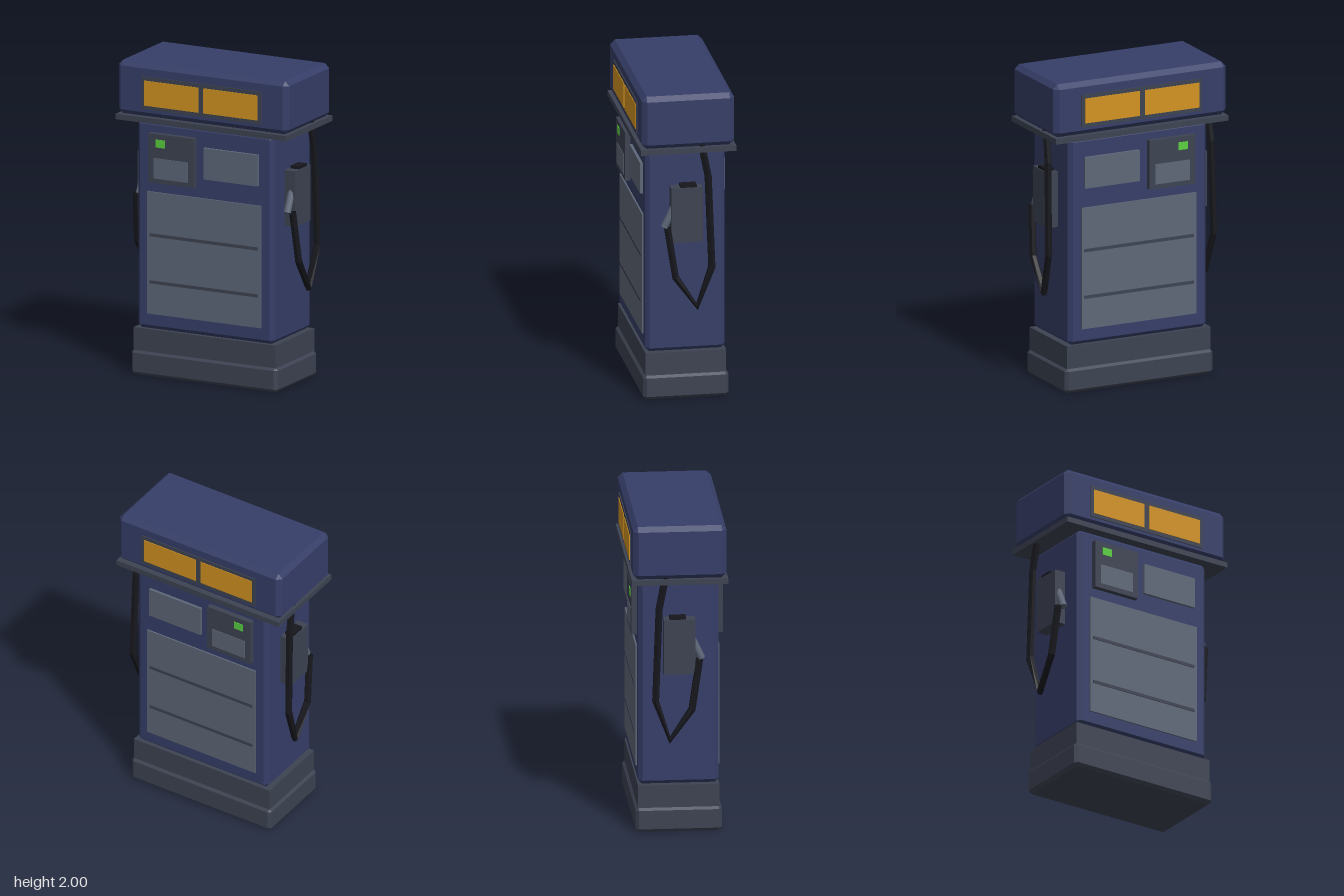
import * as THREE from 'three';
import { ConvexGeometry } from 'three/addons/geometries/ConvexGeometry.js';

const mat = (name, color, extra = {}) => {
  const m = new THREE.MeshStandardMaterial({ color, ...extra });
  m.name = name;
  return m;
};

// Box with every edge cut at 45 degrees
function chamferBox(w, h, d, c) {
  const pts = [];
  for (const x of [-1, 1]) for (const y of [-1, 1]) for (const z of [-1, 1]) {
    const a = w / 2, b = h / 2, e = d / 2;
    pts.push(
      new THREE.Vector3(x * a, y * (b - c), z * (e - c)),
      new THREE.Vector3(x * (a - c), y * b, z * (e - c)),
      new THREE.Vector3(x * (a - c), y * (b - c), z * e));
  }
  return new ConvexGeometry(pts);
}

export function createModel() {
  const navy = mat('navy paint', 0x363e68);
  const dark = mat('dark grey', 0x3d4352);
  const panel = mat('panel grey', 0x5e6778);
  const amber = mat('amber sign', 0xd39322);
  const green = mat('green light', 0x5ad040);
  const rubber = mat('black rubber', 0x16171d, { flatShading: true, side: THREE.DoubleSide });

  const root = new THREE.Group();
  root.name = 'fuelPump';

  const add = (parent, name, geometry, material, x = 0, y = 0, z = 0) => {
    const mesh = new THREE.Mesh(geometry, material);
    mesh.name = name;
    mesh.position.set(x, y, z);
    parent.add(mesh);
    return mesh;
  };
  // Box given by its limits on each axis
  const box = (parent, name, material, x0, x1, y0, y1, z0, z1, chamfer = 0) => {
    const w = Math.abs(x1 - x0), h = y1 - y0, d = Math.abs(z1 - z0);
    const geo = chamfer ? chamferBox(w, h, d, chamfer) : new THREE.BoxGeometry(w, h, d);
    return add(parent, name, geo, material, (x0 + x1) / 2, (y0 + y1) / 2, (z0 + z1) / 2);
  };

  // Main stack, from plinth to sign box
  box(root, 'plinth', dark, -0.515, 0.515, 0, 0.16, -0.268, 0.268, 0.02);
  box(root, 'base', dark, -0.5, 0.5, 0.14, 0.3, -0.253, 0.253);
  box(root, 'body', navy, -0.48, 0.48, 0.3, 1.63, -0.25, 0.25, 0.025);
  box(root, 'canopyLedge', dark, -0.6, 0.6, 1.625, 1.66, -0.3, 0.3);
  box(root, 'signBox', navy, -0.6, 0.6, 1.66, 2, -0.29, 0.29, 0.03);

  // Fittings repeated on the front and back faces
  for (const s of [1, -1]) {
    const face = new THREE.Group();
    face.name = s > 0 ? 'frontFace' : 'backFace';
    root.add(face);
    const plate = (name, material, x0, x1, y0, y1, zIn, zOut) =>
      box(face, name, material, x0, x1, y0, y1, s * zIn, s * zOut);

    plate('signFrame', dark, -0.42, 0.42, 1.71, 1.92, 0.28, 0.296);
    plate('signRight', amber, -0.4, -0.02, 1.735, 1.895, 0.292, 0.3);
    plate('signLeft', amber, 0.015, 0.395, 1.735, 1.895, 0.292, 0.3);

    plate('displayHousing', dark, -0.38, -0.06, 1.245, 1.56, 0.24, 0.285);
    plate('displayLight', green, -0.325, -0.26, 1.475, 1.525, 0.281, 0.289);
    plate('displayScreen', panel, -0.34, -0.1, 1.275, 1.405, 0.281, 0.288);

    plate('infoPanel', panel, 0, 0.38, 1.305, 1.505, 0.24, 0.268);
    plate('accessPanel', panel, -0.4, 0.4, 0.4, 1.18, 0.24, 0.26);
    for (const y of [0.605, 0.905])
      plate('panelGroove', dark, -0.38, 0.38, y - 0.01, y + 0.01, 0.256, 0.264);
  }

  // Holster, nozzle and hose on each side
  for (const s of [1, -1]) {
    const side = new THREE.Group();
    side.name = s > 0 ? 'leftDispenser' : 'rightDispenser';
    root.add(side);

    box(side, 'holster', dark, s * 0.47, s * 0.555, 1.03, 1.385, -0.097, 0.1);
    box(side, 'nozzleGrip', rubber, s * 0.49, s * 0.55, 1.37, 1.402, -0.06, 0.042);

    const tip = new THREE.Vector3(s * 0.52, 1.125, 0.14);
    const top = new THREE.Vector3(s * 0.52, 1.29, 0.062);
    const dir = top.clone().sub(tip);
    const spout = add(side, 'nozzle', new THREE.CylinderGeometry(0.024, 0.024, dir.length(), 8), panel);
    spout.position.copy(tip).add(top).multiplyScalar(0.5);
    spout.quaternion.setFromUnitVectors(new THREE.Vector3(0, 1, 0), dir.normalize());

    // Hose made of straight runs between the bends
    const path = new THREE.CatmullRomCurve3([
      [0.56, 1.68, -0.085], [0.567, 1.46, -0.128], [0.575, 0.87, -0.15],
      [0.56, 0.61, -0.06], [0.567, 0.81, 0.077], [0.55, 1.13, 0.125],
    ].map(([x, y, z]) => new THREE.Vector3(s * x, y, z)));
    path.getPointAt = (t, target) => path.getPoint(t, target);
    path.getTangentAt = (t, target) => path.getTangent(t, target);
    add(side, 'hose', new THREE.TubeGeometry(path, 5, 0.024, 6), rubber);
  }
  return root;
}
